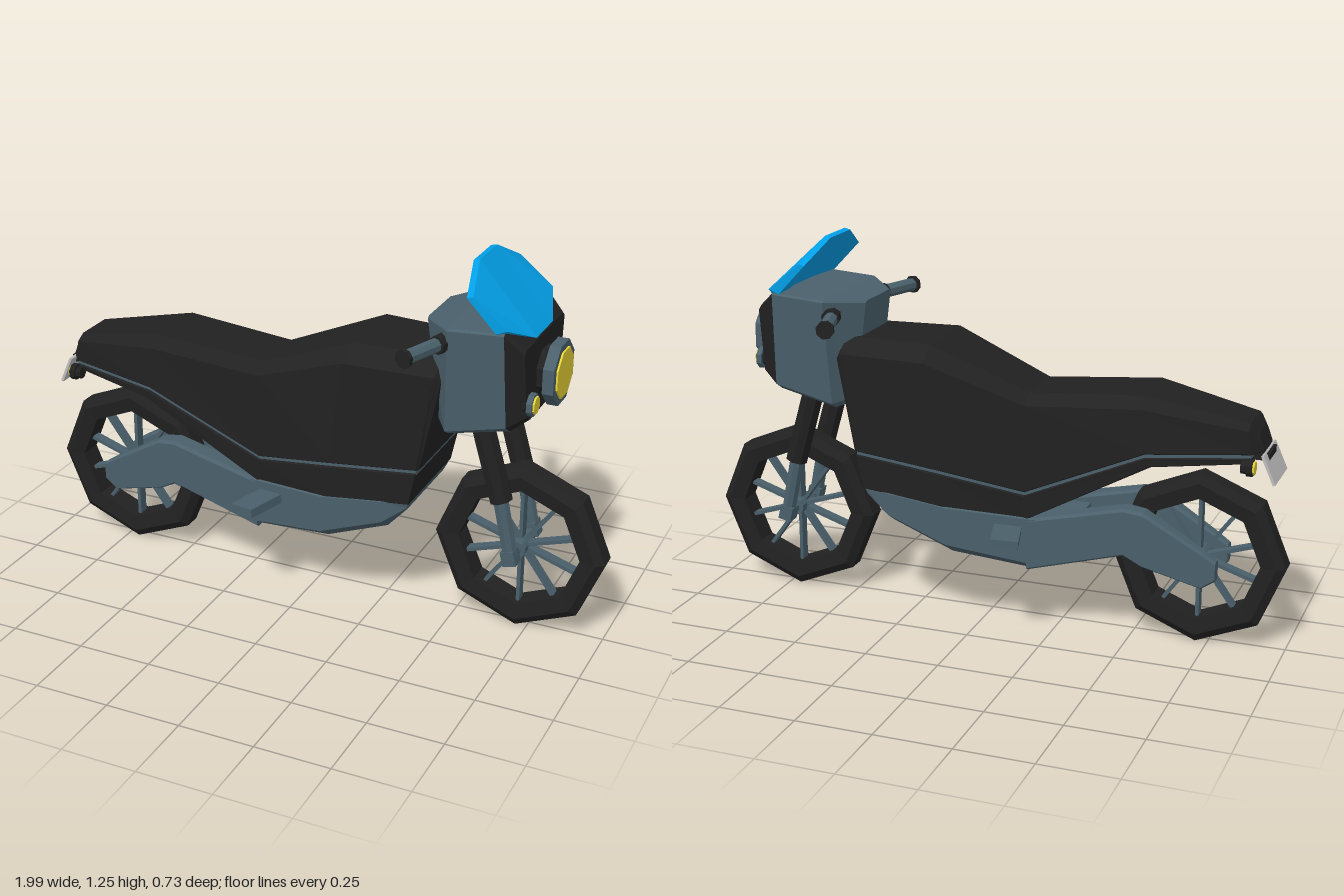
import * as THREE from 'three';

const mat = (name, color, side = THREE.FrontSide) => {
  const m = new THREE.MeshStandardMaterial({ color, flatShading: true, side });
  m.name = name;
  return m;
};

export function createModel() {
  const black = mat('black', 0x212121);
  const slate = mat('slate', 0x4a606b);
  const blue = mat('blue', 0x03a3ec);
  const yellow = mat('yellow', 0xf5e03a);
  const grey = mat('lightGrey', 0xbdbdbd);

  const bike = new THREE.Group();
  bike.name = 'motorcycle';

  function add(name, geometry, material, parent = bike) {
    const mesh = new THREE.Mesh(geometry, material);
    mesh.name = name;
    parent.add(mesh);
    return mesh;
  }

  // Closed skin through rings of [x, y, z] points, with fan caps at both ends
  function loft(rings) {
    const out = [];
    const n = rings[0].length;
    const tri = (...pts) => pts.forEach((p) => out.push(...p));
    for (let s = 0; s < rings.length - 1; s++) {
      for (let i = 0; i < n; i++) {
        const j = (i + 1) % n;
        const a = rings[s][i], b = rings[s][j], c = rings[s + 1][j], d = rings[s + 1][i];
        tri(a, b, c);
        tri(a, c, d);
      }
    }
    const first = rings[0], last = rings[rings.length - 1];
    for (let i = 1; i < n - 1; i++) {
      tri(first[0], first[i + 1], first[i]);
      tri(last[0], last[i], last[i + 1]);
    }
    const g = new THREE.BufferGeometry();
    g.setAttribute('position', new THREE.Float32BufferAttribute(out, 3));
    g.computeVertexNormals();
    return g;
  }

  // Chamfered cross-section: bottom point, top point, half widths, chamfers, z centre
  function section([xb, yb, xt, yt, wb, wt, cb = 0.005, ct = 0.005, zc = 0]) {
    const h = yt - yb;
    const tb = Math.min(0.4, (cb * 0.65) / h), tt = 1 - Math.min(0.4, (ct * 0.65) / h);
    const at = (t, cut, side) => [
      xb + (xt - xb) * t, yb + h * t, zc + side * (wb + (wt - wb) * t - cut)];
    return [
      at(1, ct, 1), at(tt, 0, 1), at(tb, 0, 1), at(0, cb, 1),
      at(0, cb, -1), at(tb, 0, -1), at(tt, 0, -1), at(1, ct, -1)];
  }
  const hull = (list) => loft(list.map(section));

  // Straight round bar between two points
  function bar(name, a, b, r0, r1, sides, material, parent = bike) {
    const p = new THREE.Vector3(...a), q = new THREE.Vector3(...b);
    const mesh = add(name, new THREE.CylinderGeometry(r1, r0, p.distanceTo(q), sides), material, parent);
    mesh.position.copy(p).add(q).multiplyScalar(0.5);
    mesh.quaternion.setFromUnitVectors(new THREE.Vector3(0, 1, 0), q.sub(p).normalize());
    return mesh;
  }

  // Seat and tank shell
  add('seatAndTank', hull([
    [-0.915, 0.685, -0.895, 0.74, 0.06, 0.06, 0.005, 0.02],
    [-0.88, 0.68, -0.87, 0.775, 0.1, 0.1, 0.005, 0.03],
    [-0.56, 0.665, -0.54, 0.84, 0.165, 0.16, 0.005, 0.05],
    [-0.16, 0.487, -0.16, 0.81, 0.15, 0.15, 0.005, 0.05],
    [0.12, 0.547, 0.17, 0.945, 0.21, 0.205, 0.005, 0.07],
    [0.412, 0.572, 0.47, 0.943, 0.19, 0.185, 0.005, 0.07],
    [0.42, 0.572, 0.488, 0.91, 0.18, 0.17, 0.005, 0.05],
  ]), black);

  // Slate seam and the lower side panels, which follow the same edge
  const edge = [
    [-0.88, 0.68, 0.1, -0.88, 0.65], [-0.56, 0.665, 0.165, -0.58, 0.625],
    [-0.16, 0.487, 0.15, -0.15, 0.385], [0.12, 0.547, 0.21, 0.1, 0.42],
    [0.412, 0.572, 0.19, 0.388, 0.445]];
  add('seam', hull(edge.map(([x, y, w]) =>
    [x, y - 0.018, x, y + 0.005, w - 0.008, w - 0.008])), slate);
  add('lowerPanels', hull(edge.map(([x, y, w, xb, yb]) =>
    [xb, yb, x, y - 0.011, w - 0.004, w])), black);

  // Engine belly
  add('belly', hull([
    [-0.32, 0.27, -0.32, 0.4, 0.13, 0.13, 0.04],
    [-0.17, 0.213, -0.17, 0.4, 0.15, 0.15, 0.05],
    [0.09, 0.25, 0.09, 0.425, 0.21, 0.21, 0.07],
    [0.3, 0.33, 0.3, 0.445, 0.195, 0.195, 0.06],
    [0.375, 0.415, 0.388, 0.45, 0.175, 0.18, 0.02],
  ]), slate);

  // Swing arms and foot pegs
  for (const s of [1, -1]) {
    const arm = [
      [-0.785, 0.25, 0.315, 0.068, 0.11], [-0.74, 0.22, 0.345, 0.065, 0.115],
      [-0.55, 0.275, 0.458, 0.065, 0.135], [-0.49, 0.308, 0.467, 0.065, 0.14],
      [-0.17, 0.22, 0.395, 0.07, 0.15]];
    add('swingArm', hull(arm.map(([x, yb, yt, zi, zo]) => {
      const w = (zo - zi) / 2;
      return [x, yb, x, yt, w, w, 0.012, 0.012, s * (zi + w)];
    })), slate);
    const peg = add('footPeg', new THREE.BoxGeometry(0.09, 0.03, 0.17), slate);
    peg.position.set(-0.125, 0.36, s * 0.22);
    peg.rotation.set(0, -s * 0.27, 0.08);
  }

  // Wheels: octagonal tyre, hub and ten flat spokes
  const tyreProfile = [
    [0.205, -0.04], [0.258, -0.05], [0.286, -0.03], [0.286, 0.03],
    [0.258, 0.05], [0.205, 0.04], [0.205, -0.04]].map((p) => new THREE.Vector2(...p));
  const tyreGeometry = new THREE.LatheGeometry(tyreProfile, 8).rotateX(Math.PI / 2);
  const hubGeometry = new THREE.CylinderGeometry(0.028, 0.028, 0.1, 10).rotateX(Math.PI / 2);
  const spokeGeometry = new THREE.BoxGeometry(0.012, 0.2, 0.035).translate(0, 0.105, 0);
  for (const [name, x] of [['rearWheel', -0.71], ['frontWheel', 0.712]]) {
    const wheel = new THREE.Group();
    wheel.name = name;
    wheel.position.set(x, 0.293, 0);
    bike.add(wheel);
    add('tyre', tyreGeometry, black, wheel);
    add('hub', hubGeometry, slate, wheel);
    for (let i = 0; i < 10; i++) {
      add('spoke', spokeGeometry, slate, wheel).rotation.z = (i * Math.PI) / 5;
    }
    bar('axle', [0, 0, -0.11], [0, 0, 0.11], 0.014, 0.014, 8, slate, wheel);
  }

  // Front fork
  for (const s of [1, -1]) {
    const z = s * 0.108;
    bar('upperFork', [0.672, 0.49, z], [0.585, 0.79, z], 0.038, 0.038, 8, black);
    bar('lowerFork', [0.71, 0.3, z], [0.668, 0.5, z], 0.024, 0.026, 8, slate);
    const lug = add('forkLug', new THREE.BoxGeometry(0.045, 0.05, 0.05), slate);
    lug.position.set(0.71, 0.298, z);
    lug.rotation.z = 0.24;
  }

  // Cowl and front fairing
  const rim = [0.7, 0.748, 0.69, 1.088, 0.18, 0.21, 0.04, 0.01];
  add('cowl', hull([
    [0.45, 0.72, 0.405, 1.06, 0.1, 0.1, 0.02, 0.01],
    [0.5, 0.703, 0.51, 1.075, 0.175, 0.21, 0.03, 0.01],
    rim,
  ]), slate);
  add('frontFairing', hull([
    rim, [0.755, 0.79, 0.75, 1.035, 0.15, 0.19, 0.03, 0.02],
  ]), black);

  // Windshield, bent back at both sides
  const side = [[0.7, 1.1], [0.59, 1.19], [0.57, 1.185], [0.665, 1.085]];
  const centre = [[0.748, 1.04], [0.558, 1.26], [0.538, 1.255], [0.725, 1.03]];
  add('windshield', loft([[side, -0.21], [centre, -0.075], [centre, 0.075], [side, 0.21]]
    .map(([ring, z]) => ring.map(([x, y]) => [x, y, z]))), blue);

  // Lamps facing along x; dir is +1 forward, -1 backward
  function lamp(name, x, y, z, r, depth, dir) {
    const g = new THREE.Group();
    g.name = name;
    g.position.set(x, y, z);
    bike.add(g);
    const disc = (part, radius, d, at, material) => {
      const m = add(part, new THREE.CylinderGeometry(radius, radius, d, 8)
        .rotateZ(Math.PI / 2).rotateX(Math.PI / 8), material, g);
      m.position.x = dir * at;
    };
    disc('lampBase', r * 0.75, depth, 0, black);
    disc('lampRing', r, depth, depth * 0.9, dir > 0 ? slate : black);
    disc('lens', r * 0.78, 0.008, depth * 1.4 + 0.002, yellow);
  }
  lamp('headlight', 0.765, 0.91, 0, 0.105, 0.036, 1);
  for (const s of [1, -1]) {
    lamp('frontIndicator', 0.75, 0.85, s * 0.14, 0.037, 0.018, 1);
    lamp('rearIndicator', -0.865, 0.645, s * 0.11, 0.028, 0.02, -1);
  }

  // Handlebars
  for (const s of [1, -1]) {
    bar('handlebarRoot', [0.505, 1.02, s * 0.14], [0.48, 1.02, s * 0.215], 0.032, 0.03, 8, black);
    bar('grip', [0.49, 1.02, s * 0.18], [0.432, 1.02, s * 0.35], 0.023, 0.023, 8, slate);
    bar('gripEnd', [0.434, 1.02, s * 0.344], [0.43, 1.02, s * 0.358], 0.03, 0.03, 8, black);
  }

  // Tail bracket and rear plate
  const bracket = add('tailBracket', new THREE.BoxGeometry(0.07, 0.025, 0.1), black);
  bracket.position.set(-0.895, 0.665, 0);
  const plate = add('rearPlate', new THREE.BoxGeometry(0.009, 0.1, 0.18), grey);
  plate.position.set(-0.935, 0.633, 0);
  plate.rotation.z = -0.42;

  return bike;
}
